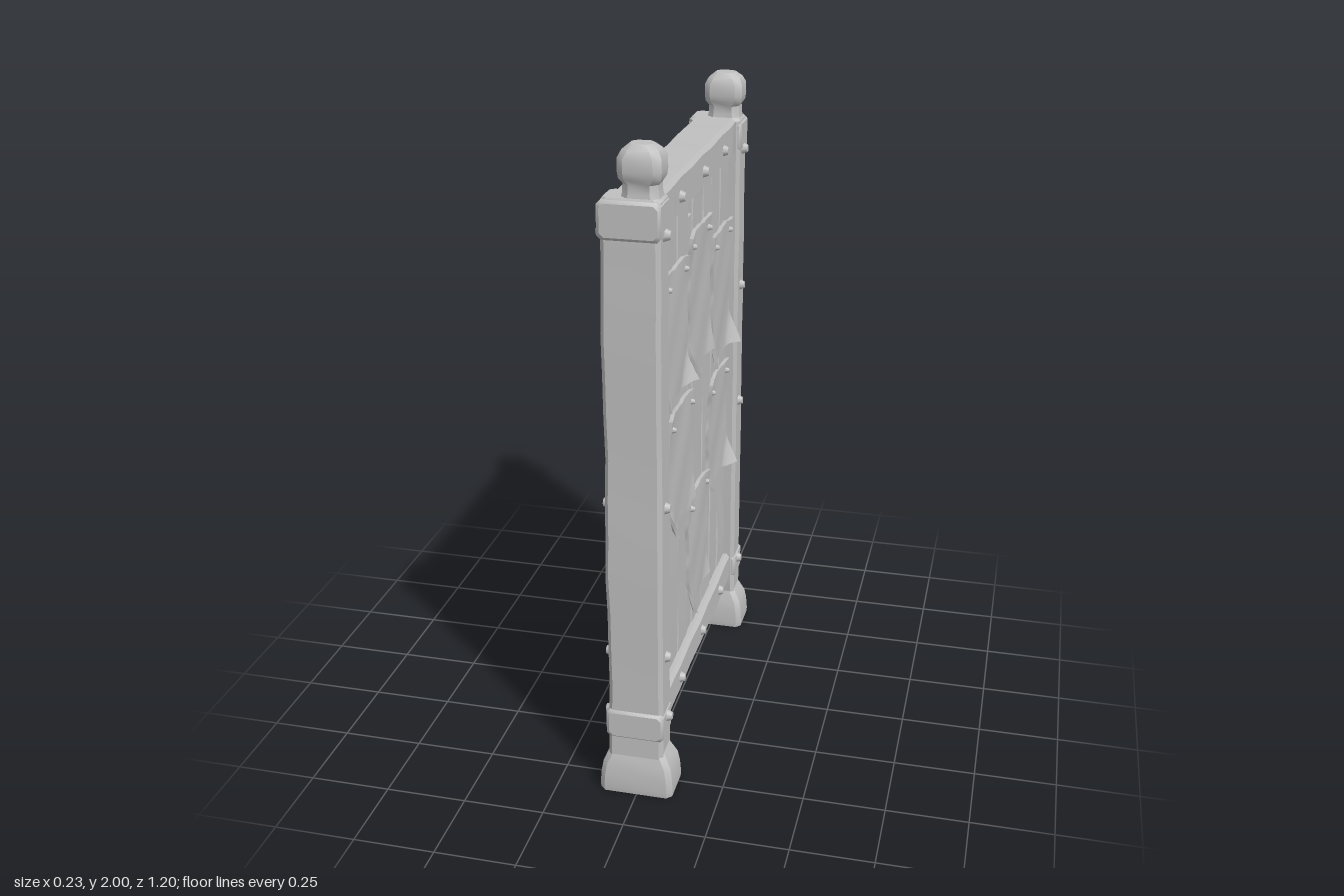
import * as THREE from 'three';
import { toCreasedNormals } from 'three/addons/utils/BufferGeometryUtils.js';

const stone = new THREE.MeshStandardMaterial({ color: 0xbfbfbf });
stone.name = 'weathered grey';

// gentle hand-carved unevenness
const wobble = (t, seed) => Math.sin(t * 9.1 + seed * 2.3) * 0.6 + Math.sin(t * 23.7 + seed * 5.1) * 0.4;

// solid from chamfered rectangular rings: [y, width x, depth z, centre x, centre z]
function loft(rings, chamfer = 0.012) {
  const pos = [];
  const loops = rings.map(([y, w, d, cx = 0, cz = 0]) => {
    const a = w / 2, b = d / 2, c = Math.min(chamfer, a / 2, b / 2);
    return [[a, c - b], [a, b - c], [a - c, b], [c - a, b], [-a, b - c], [-a, c - b], [c - a, -b], [a - c, -b]]
      .map(([x, z]) => [x + cx, y, z + cz]);
  });
  const tri = (...p) => p.forEach((q) => pos.push(...q));
  for (let i = 0; i < loops.length - 1; i++) {
    for (let j = 0; j < 8; j++) {
      const k = (j + 1) % 8, lo = loops[i], hi = loops[i + 1];
      tri(lo[j], hi[j], hi[k]);
      tri(lo[j], hi[k], lo[k]);
    }
  }
  const last = loops.length - 1;
  for (let j = 1; j < 7; j++) {
    tri(loops[0][0], loops[0][j], loops[0][j + 1]);
    tri(loops[last][0], loops[last][j + 1], loops[last][j]);
  }
  const g = new THREE.BufferGeometry();
  g.setAttribute('position', new THREE.Float32BufferAttribute(pos, 3));
  return toCreasedNormals(g, 0.6);
}

// straight beam from y0 to y1 with worn ends and slightly uneven sides
function beam(y0, y1, w, d, seed, amount = 0.004, steps = 14) {
  const rings = [[y0, w - 0.016, d - 0.016]];
  for (let i = 0; i <= steps; i++) {
    const y = y0 + 0.01 + ((y1 - y0 - 0.02) * i) / steps;
    rings.push([y, w + amount * wobble(y, seed), d + amount * wobble(y, seed + 3),
      amount * 0.4 * wobble(y, seed + 7), amount * 0.4 * wobble(y, seed + 11)]);
  }
  rings.push([y1, w - 0.016, d - 0.016]);
  return loft(rings);
}

// ragged sheet facing +x, with lifted corners
function sheet(w, h, seed) {
  const g = new THREE.BoxGeometry(0.012, h, w, 1, 16, 12);
  const p = g.attributes.position;
  for (let i = 0; i < p.count; i++) {
    const y = p.getY(i), z = p.getZ(i), u = (2 * z) / w, v = (2 * y) / h;
    const corner = Math.max(0, Math.abs(u * v) - 0.55);
    const lift = v < 0 ? 0.06 + 0.03 * Math.sin(seed * 3 + u) : 0.02;
    p.setX(i, p.getX(i) + corner * lift + 0.003 * wobble(y + z, seed));
    p.setZ(i, z + u ** 6 * 0.005 * wobble(y * 4, seed + u));
    p.setY(i, y + v ** 6 * 0.005 * wobble(z * 4, seed + v));
  }
  g.computeVertexNormals();
  return g;
}

export function createModel() {
  const model = new THREE.Group();
  model.name = 'noticeBoard';
  const add = (name, geometry, x = 0, y = 0, z = 0) => {
    const m = new THREE.Mesh(geometry, stone);
    m.name = name;
    m.position.set(x, y, z);
    model.add(m);
    return m;
  };

  // posts with feet, finials and rail ends
  for (const s of [1, -1]) {
    const z = 0.527 * s;
    add('post', beam(0.1, 1.86, 0.168, 0.108, s + 2), -0.005, 0, z);
    add('foot', loft([
      [0, 0.225, 0.14], [0.015, 0.228, 0.144], [0.06, 0.222, 0.138],
      [0.095, 0.21, 0.13], [0.125, 0.18, 0.112], [0.145, 0.16, 0.1],
    ], 0.016), -0.003, 0, z);
    add('finial', loft([
      [1.84, 0.115, 0.1], [1.87, 0.1, 0.088], [1.895, 0.098, 0.086], [1.91, 0.117, 0.104],
      [1.93, 0.122, 0.11], [1.965, 0.12, 0.108], [1.985, 0.1, 0.088], [2, 0.062, 0.055],
    ], 0.02), 0.02, 0, z);
  }

  // cross rails, their ends passing through the posts
  for (const [name, y, h] of [['topRail', 1.8, 0.118], ['bottomRail', 0.236, 0.104]]) {
    add(name, beam(-0.5, 0.5, 0.138, h, h * 40), -0.005, y, 0).rotation.x = Math.PI / 2;
    for (const s of [1, -1]) {
      add('railEnd', beam(-0.056, 0.056, 0.176, h - 0.01, s + 5, 0.003, 2), -0.005, y, 0.533 * s).rotation.x = Math.PI / 2;
    }
  }

  // plank panel around a thin core
  add('panelCore', new THREE.BoxGeometry(0.05, 1.5, 0.97), 0, 1.02, 0);
  const edges = [0.49, 0.36, 0.225, 0.09, 0.03, -0.11, -0.24, -0.36, -0.49];
  for (let i = 0; i < edges.length - 1; i++) {
    const top = i === 3 ? 1.68 : 1.77; // one plank is broken off short
    const plank = loft(beamRings(0.26, top, edges[i] - edges[i + 1] - 0.003, i), 0.004);
    add('plank', plank, 0, 0, (edges[i] + edges[i + 1]) / 2);
  }

  // pinned sheets: [z, y, width, height, tilt]
  const sheets = [
    [0.315, 1.405, 0.265, 0.39, 0.01], [0.005, 1.42, 0.27, 0.435, 0.01], [-0.31, 1.33, 0.265, 0.43, 0.015],
    [0.255, 0.975, 0.3, 0.365, -0.02], [-0.27, 0.88, 0.28, 0.375, -0.015], [0.02, 0.595, 0.265, 0.39, 0.015],
  ];
  const pin = new THREE.CylinderGeometry(0.006, 0.011, 0.014, 7);
  sheets.forEach(([z, y, w, h, tilt], i) => {
    const g = new THREE.Group();
    g.name = 'notice';
    g.position.set(0.054, y, z);
    g.rotation.x = tilt;
    const paper = new THREE.Mesh(sheet(w, h, i + 1), stone);
    paper.name = 'paper';
    g.add(paper);
    for (const s of [1, -1]) {
      const m = new THREE.Mesh(pin, stone);
      m.name = 'pin';
      m.rotation.z = -Math.PI / 2;
      m.position.set(0.013, h / 2 - 0.035, s * (w / 2 - 0.03));
      g.add(m);
    }
    model.add(g);
  });

  // nail heads on both faces: [x of surface, y, z]
  const nail = new THREE.CylinderGeometry(0.012, 0.021, 0.022, 7);
  const nails = [];
  for (const z of [0.53, -0.52]) {
    nails.push([0.084, 1.755, z], [0.084, 0.255, z], [0.08, z > 0 ? 0.46 : 1.29, z], [0.08, z > 0 ? 0.95 : 0.87, z]);
  }
  for (const z of [0.28, -0.02, -0.3]) nails.push([0.065, 1.795, z], [0.065, 0.235, z]);
  for (const [x, y, z] of nails) {
    for (const s of [1, -1]) {
      add('nail', nail, -0.005 + s * (x + 0.008), y, z).rotation.z = (-s * Math.PI) / 2;
    }
  }
  return model;
}

// slightly warped plank sections
function beamRings(y0, y1, width, seed) {
  return Array.from({ length: 13 }, (_, i) => {
    const y = y0 + ((y1 - y0) * i) / 12;
    return [y, 0.08 + 0.005 * wobble(y, seed), width + 0.002 * wobble(y, seed + 4), 0.003 * wobble(y, seed + 9)];
  });
}
